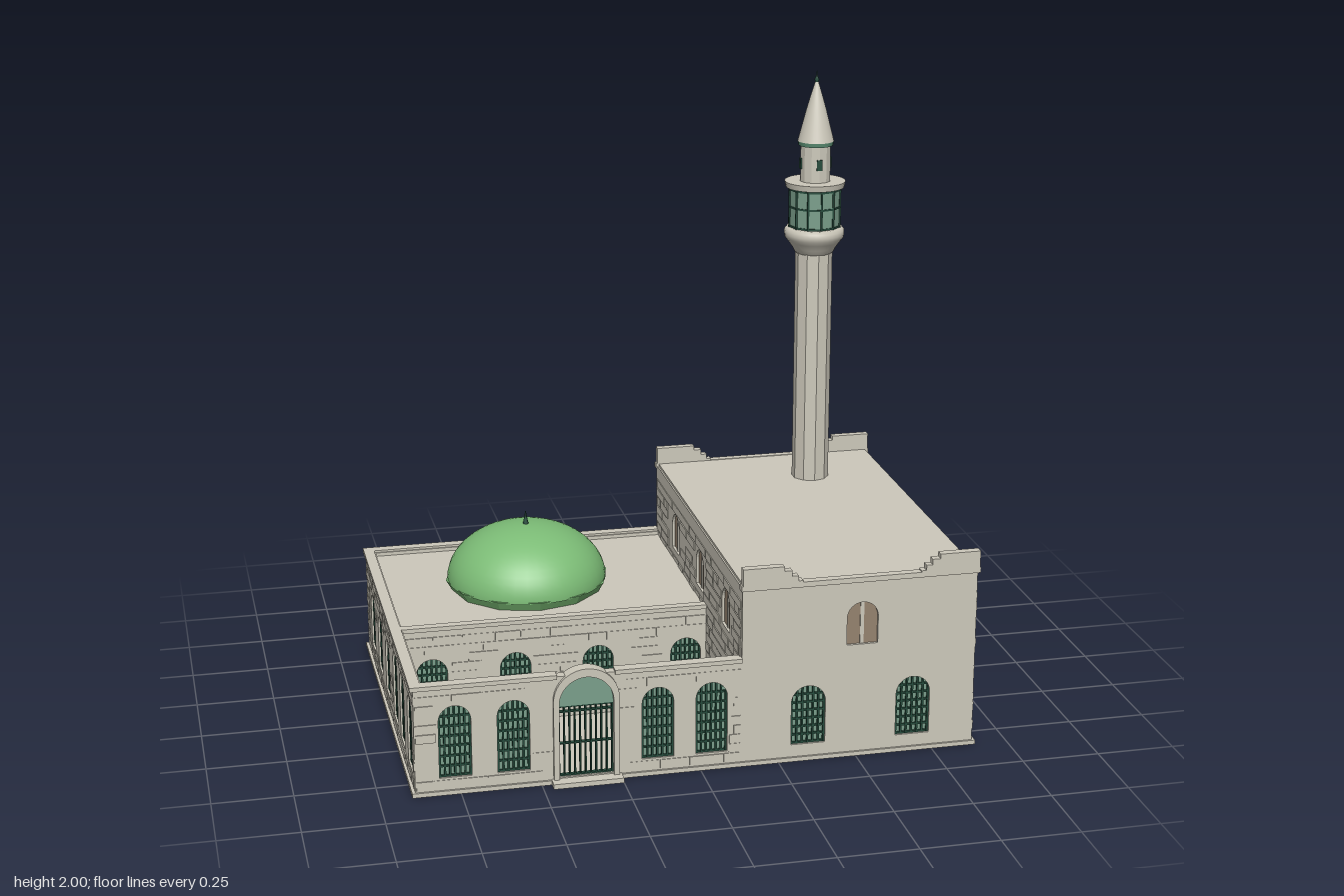
import * as THREE from 'three';
import { mergeGeometries } from 'three/addons/utils/BufferGeometryUtils.js';

const mat = (name, color) => {
  const m = new THREE.MeshStandardMaterial({ color });
  m.name = name;
  return m;
};

export function createModel() {
  const stone = mat('stone', 0xcdc9bb);
  const domeGreen = mat('domeGreen', 0x7cbc76);
  const glass = mat('glass', 0x7b9f8b);
  const iron = mat('darkGreenIron', 0x244a3b);
  const wood = mat('wood', 0x95836f);
  const trimGreen = mat('trimGreen', 0x5f9478);

  const model = new THREE.Group();
  model.name = 'domedBuilding';
  const add = (parent, name, geo, m, x = 0, y = 0, z = 0) => {
    const mesh = new THREE.Mesh(geo, m);
    mesh.name = name;
    mesh.position.set(x, y, z);
    parent.add(mesh);
    return mesh;
  };
  // Box given by its limits on each axis
  const span = (x0, x1, y0, y1, z0, z1) => new THREE.BoxGeometry(x1 - x0, y1 - y0, z1 - z0)
    .translate((x0 + x1) / 2, (y0 + y1) / 2, (z0 + z1) / 2);
  const block = (name, ...limits) => add(model, name, span(...limits), stone);

  let seed = 7;
  const rand = () => (seed = (seed * 16807) % 2147483647) / 2147483647;

  // Round-headed outline
  const arch = (C, u, y0, y1, w) => {
    const r = w / 2, p = new C();
    p.moveTo(u - r, y0);
    p.lineTo(u + r, y0);
    p.lineTo(u + r, y1 - r);
    p.absarc(u, y1 - r, r, 0, Math.PI, false);
    p.lineTo(u - r, y0);
    return p;
  };
  const archPlate = (u, y0, y1, w, depth, z) => new THREE.ExtrudeGeometry(
    arch(THREE.Shape, u, y0, y1, w), { depth, bevelEnabled: false, curveSegments: 8 }).translate(0, 0, z);

  // Bars cut to fit a round-headed opening
  const bars = ({ u, y0, y1, w }, nv, nh, t, z) => {
    const out = [], r = w / 2, spring = y1 - r;
    for (let i = 0; i <= nv; i++) {
      const x = (i / nv - 0.5) * (w - t);
      const top = spring + Math.sqrt(Math.max(0, r * r - x * x));
      out.push(span(u + x - t / 2, u + x + t / 2, y0, top, z - 0.008, z + 0.008));
    }
    for (let i = 0; i < nh; i++) {
      const y = y0 + t / 2 + (i / nh) * (y1 - y0 - t), k = Math.max(0, y - spring);
      const half = Math.sqrt(r * r - k * k);
      out.push(span(u - half, u + half, y - t / 2, y + t / 2, z - 0.007, z + 0.007));
    }
    return out;
  };

  // Wall with openings: local z = 0 is its outer face
  const T = 0.03;
  function wall(name, a, b, h, pos, turn, windows, rough = false) {
    const g = new THREE.Group();
    g.name = name;
    g.position.set(...pos);
    g.rotation.y = turn;
    model.add(g);
    const s = new THREE.Shape([[a, 0], [b, 0], [b, h], [a, h]].map(p => new THREE.Vector2(...p)));
    const panes = [], grilles = [], shutters = [], fills = [];
    for (const o of windows) {
      const { u, y0, y1, w, kind } = o;
      s.holes.push(arch(THREE.Path, u, y0, y1, w));
      if (kind === 'gate') {
        grilles.push(...bars({ u, y0, y1: y1 - 0.01, w }, 10, 3, 0.004, -0.015));
        grilles.push(span(u - w / 2, u + w / 2, 0.25, 0.258, -0.025, -0.004));
        panes.push(archPlate(u, 0.255, y1, w, 0.006, -0.007));
      } else if (kind === 'shutter') {
        shutters.push(archPlate(u, y0, y1, w, 0.006, -0.015));
        fills.push(span(u - 0.006, u + 0.006, y0, y1, -0.015, -0.006));
      } else if (kind === 'blind') {
        fills.push(archPlate(u, y0, y1, w, 0.01, -0.016));
      } else {
        panes.push(archPlate(u, y0, y1, w, 0.004, -0.017));
        grilles.push(...bars(o, 6, 7, 0.006, -0.014));
      }
    }
    add(g, 'wallPanel', new THREE.ExtrudeGeometry(s, { depth: T, bevelEnabled: false, curveSegments: 8 })
      .translate(0, 0, -T), stone);
    const merged = (n, list, m) => list.length && add(g, n, mergeGeometries(list), m);
    merged('windowPanes', panes, glass);
    merged('windowGrilles', grilles, iron);
    merged('woodenShutters', shutters, wood);
    fills.forEach(f => add(g, 'windowFilling', f, stone));
    if (!rough) return;
    // Slightly raised, irregular stone courses between the openings
    const stones = [];
    for (let y = 0.02; y < h - 0.045; y += 0.031) {
      for (let u = a + 0.004; u < b - 0.02;) {
        const e = Math.min(b - 0.004, u + 0.05 + rand() * 0.06);
        const clear = windows.every(o => e < o.u - o.w / 2 - 0.003 || u > o.u + o.w / 2 + 0.003
          || y + 0.028 < o.y0 || y > o.y1 + 0.003);
        const d = 0.001 + rand() * 0.003;
        if (clear) stones.push(span(u, e, y, y + 0.028, -0.004, d));
        u = e + 0.003;
      }
    }
    merged('stoneCourses', stones, stone);
  }
  const row = (list, y0, y1, w = 0.1, kind = 'grille') => list.map(u => ({ u, y0, y1, w, kind }));

  // Outer and inner walls
  const Q = Math.PI / 2;
  wall('courtyardFrontWall', -0.89, 0.13, 0.355, [0, 0, 0.59], 0, [
    ...row([-0.765, -0.585, -0.135, 0.035], 0.055, 0.29),
    ...row([-0.36], 0.02, 0.35, 0.17, 'gate')], true);
  wall('tallFrontWall', 0.13, 0.885, 0.59, [0, 0, 0.59], 0, [
    ...row([0.345, 0.685], 0.055, 0.25, 0.11), ...row([0.515], 0.375, 0.515, 0.1, 'shutter')]);
  wall('rightWall', -0.59, 0.62, 0.59, [0.885, 0, 0], Q, [
    ...row([-0.34, 0.02, 0.375], 0.07, 0.225, 0.105),
    ...row([-0.34, 0.02], 0.38, 0.51, 0.105, 'shutter'),
    ...row([0.375], 0.38, 0.51, 0.105, 'blind')], true);
  wall('tallBackWall', -0.885, -0.13, 0.59, [0, 0, -0.62], Math.PI, [
    ...row([-0.74, -0.525, -0.29], 0.075, 0.235),
    ...row([-0.74, -0.525, -0.29], 0.38, 0.51, 0.1, 'shutter')]);
  wall('hallBackWall', -0.13, 0.89, 0.355, [0, 0, -0.62], Math.PI,
    row([-0.06, 0.23, 0.5, 0.77], 0.06, 0.25));
  wall('leftWall', -0.62, 0.59, 0.355, [-0.89, 0, 0], -Q, [
    ...row([-0.46, -0.26, -0.06], 0.06, 0.25), ...row([0.14, 0.31, 0.49], 0.055, 0.29)], true);
  wall('hallFrontWall', -0.87, 0.13, 0.355, [0, 0, 0.13], 0,
    row([-0.77, -0.5, -0.23, 0.06], 0.06, 0.25), true);
  wall('tallLeftWall', -0.61, 0.58, 0.59, [0.13, 0, 0], -Q,
    row([-0.32, 0.03, 0.38], 0.38, 0.51, 0.1, 'shutter'), true);

  // Floor, plinth, doorstep and roofs
  block('plinth', -0.9, 0.895, 0, 0.014, -0.63, 0.597);
  block('doorstep', -0.47, -0.25, 0, 0.016, 0.59, 0.63);
  block('hallRoof', -0.88, 0.14, 0.325, 0.343, -0.61, 0.12);
  block('tallRoof', 0.135, 0.88, 0.57, 0.598, -0.61, 0.58);

  // Copings along the low walls, broken at the gate arch
  for (const [x0, x1, z0, z1] of [[-0.9, -0.45, 0.56, 0.597], [-0.27, 0.13, 0.56, 0.597],
    [-0.9, -0.865, -0.63, 0.597], [-0.9, 0.13, -0.63, -0.595], [-0.88, 0.13, 0.105, 0.135]]) {
    block('lowCoping', x0, x1, 0.348, 0.362, z0, z1);
  }

  // Cornice and stepped corner parapets of the tall block
  for (const [z0, z1] of [[0.57, 0.597], [-0.63, -0.605]]) {
    block('tallCornice', 0.125, 0.893, 0.583, 0.6, z0, z1);
    for (const [x, d] of [[0.13, 1], [0.89, -1]]) {
      const s = new THREE.Shape([[0, 0.59], [0.19, 0.59], [0.19, 0.605], [0.175, 0.605], [0.175, 0.622],
        [0.155, 0.622], [0.155, 0.64], [0.13, 0.64], [0.13, 0.655], [0, 0.655]]
        .map(([u, y]) => new THREE.Vector2(x + d * u, y)));
      add(model, 'steppedParapet', new THREE.ExtrudeGeometry(s, { depth: z1 - z0, bevelEnabled: false }),
        stone, 0, 0, z0);
    }
  }

  // Raised gate surround
  const surround = arch(THREE.Shape, -0.36, 0.014, 0.377, 0.206);
  surround.holes.push(arch(THREE.Path, -0.36, 0.016, 0.35, 0.17));
  add(model, 'gateSurround', new THREE.ExtrudeGeometry(surround,
    { depth: 0.042, bevelEnabled: false, curveSegments: 10 }), stone, 0, 0, 0.559);

  // Dome on a twelve-sided base
  const dome = new THREE.Group();
  dome.name = 'dome';
  dome.position.set(-0.4, 0, -0.23);
  model.add(dome);
  const skirt = new THREE.CylinderGeometry(0.27, 0.25, 0.035, 12).toNonIndexed();
  skirt.computeVertexNormals();
  add(dome, 'domeBase', skirt, domeGreen, 0, 0.358, 0);
  add(dome, 'domeShell', new THREE.SphereGeometry(0.263, 40, 14, 0, Math.PI * 2, 0, Q)
    .scale(1, 0.185 / 0.263, 1), domeGreen, 0, 0.37, 0);
  add(dome, 'domeFinial', new THREE.ConeGeometry(0.01, 0.05, 8), iron, 0, 0.577, 0);

  // Minaret
  const tower = new THREE.Group();
  tower.name = 'minaret';
  tower.position.set(0.615, 0, -0.38);
  model.add(tower);
  const faceted = (rt, rb, y0, y1, n) => {
    const g = new THREE.CylinderGeometry(rt, rb, y1 - y0, n).toNonIndexed();
    g.computeVertexNormals();
    return g.translate(0, (y0 + y1) / 2, 0);
  };
  const lathe = pts => new THREE.LatheGeometry(pts.map(p => new THREE.Vector2(...p)), 32);
  add(tower, 'shaft', faceted(0.062, 0.062, 0.58, 1.4, 10), stone);
  add(tower, 'balconyCorbel', lathe([[0.058, 1.385], [0.066, 1.392], [0.072, 1.405], [0.086, 1.425],
    [0.098, 1.44], [0.1, 1.452], [0.1, 1.465], [0.092, 1.475], [0, 1.476]]), stone);
  add(tower, 'balconyGlazing', faceted(0.085, 0.085, 1.476, 1.61, 12), glass);
  for (let i = 0; i < 12; i++) {
    const a = i * Math.PI / 6;
    add(tower, 'balconyPost', new THREE.BoxGeometry(0.006, 0.134, 0.006), iron,
      Math.sin(a) * 0.086, 1.543, Math.cos(a) * 0.086);
  }
  for (const y of [1.48, 1.545, 1.604]) {
    add(tower, 'balconyRail', faceted(0.088, 0.088, y - 0.003, y + 0.003, 12), iron);
  }
  add(tower, 'balconyCanopy', new THREE.CylinderGeometry(0.101, 0.097, 0.02, 32), stone, 0, 1.62, 0);
  add(tower, 'upperShaft', faceted(0.051, 0.051, 1.63, 1.752, 12), stone);
  for (let i = 0; i < 4; i++) {
    const slit = add(tower, 'upperSlit', new THREE.BoxGeometry(0.018, 0.036, 0.006), iron,
      Math.sin(i * Q) * 0.05, 1.69, Math.cos(i * Q) * 0.05);
    slit.rotation.y = i * Q;
  }
  add(tower, 'greenBand', new THREE.CylinderGeometry(0.06, 0.057, 0.014, 24), trimGreen, 0, 1.757, 0);
  add(tower, 'spire', lathe([[0.06, 1.764], [0.048, 1.81], [0.033, 1.868], [0.018, 1.92], [0.004, 1.965]]), stone);
  add(tower, 'spireFinial', lathe([[0.004, 1.955], [0.008, 1.968], [0.003, 1.978], [0, 2]]), iron);
  return model;
}
